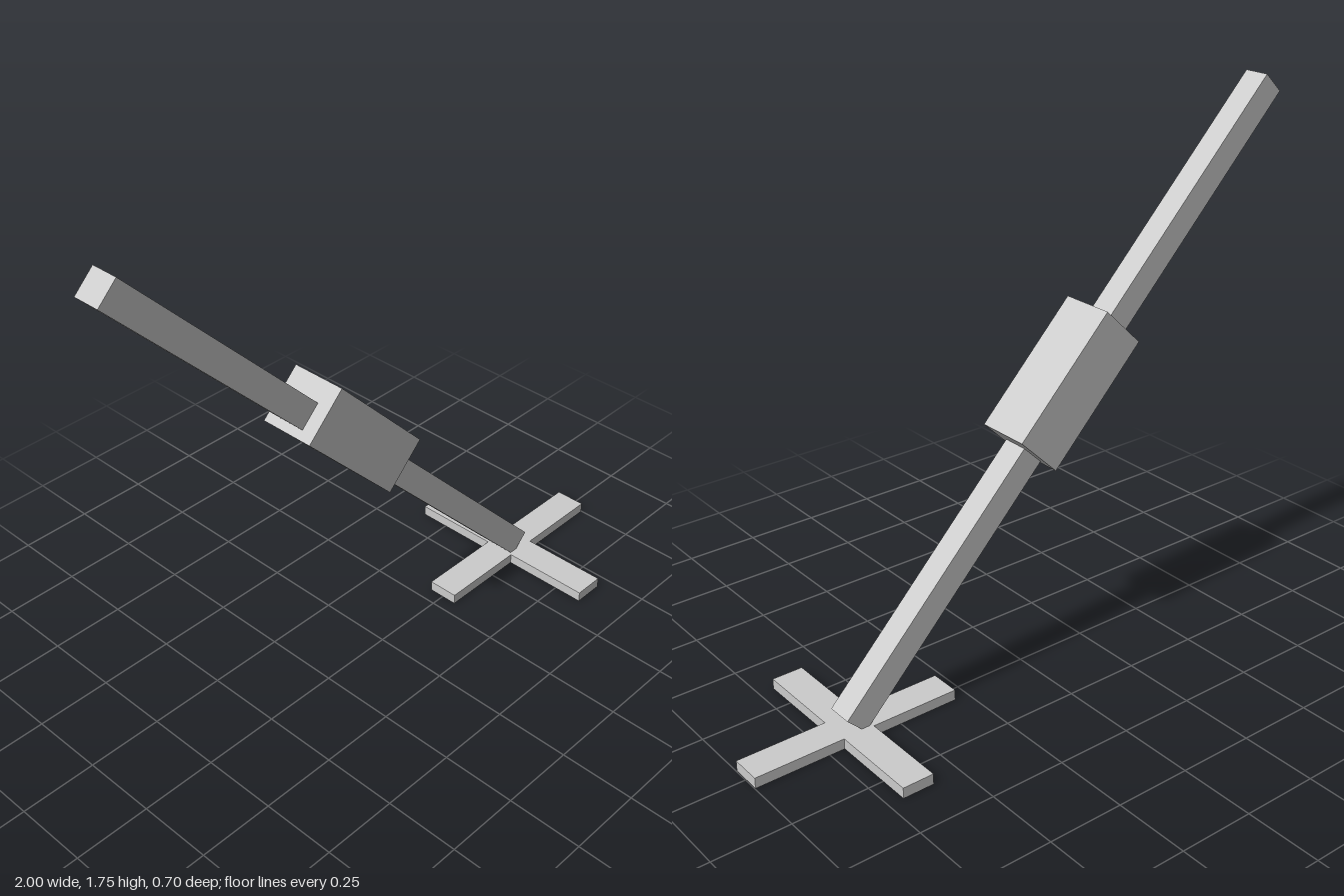
import * as THREE from 'three';

export function createModel() {
  const model = new THREE.Group();
  const grey = new THREE.MeshStandardMaterial({ color: 0xcccccc });
  grey.name = 'plainGrey';

  const add = (parent, name, geometry, x, y, z) => {
    const mesh = new THREE.Mesh(geometry, grey);
    mesh.name = name;
    mesh.position.set(x, y, z);
    parent.add(mesh);
    return mesh;
  };

  // Cross-shaped foot, lying flat
  const arm = 0.35, half = 0.052, thickness = 0.035;
  const cross = new THREE.Shape();
  for (let i = 0; i < 4; i++) {
    const c = Math.round(Math.cos(i * Math.PI / 2));
    const s = Math.round(Math.sin(i * Math.PI / 2));
    for (const [u, v] of [[arm, -half], [arm, half], [half, half]]) {
      const x = u * c - v * s, y = u * s + v * c;
      if (cross.curves.length || cross.currentPoint.x) cross.lineTo(x, y);
      else cross.moveTo(x, y);
    }
  }
  cross.closePath();
  const footGeometry = new THREE.ExtrudeGeometry(cross, { depth: thickness, bevelEnabled: false });
  footGeometry.rotateX(-Math.PI / 2);
  add(model, 'crossFoot', footGeometry, 0.648, 0, 0);

  // Leaning assembly: local x runs down the pole
  const lean = new THREE.Group();
  lean.name = 'leaningPole';
  lean.position.set(-0.16, 0.886, 0);
  lean.rotation.z = -THREE.MathUtils.degToRad(45.9);
  model.add(lean);
  add(lean, 'pole', new THREE.BoxGeometry(2.327, 0.087, 0.087), 0, 0, 0);
  add(lean, 'sleeveBlock', new THREE.BoxGeometry(0.468, 0.182, 0.182), -0.021, 0.019, 0);

  return model;
}
